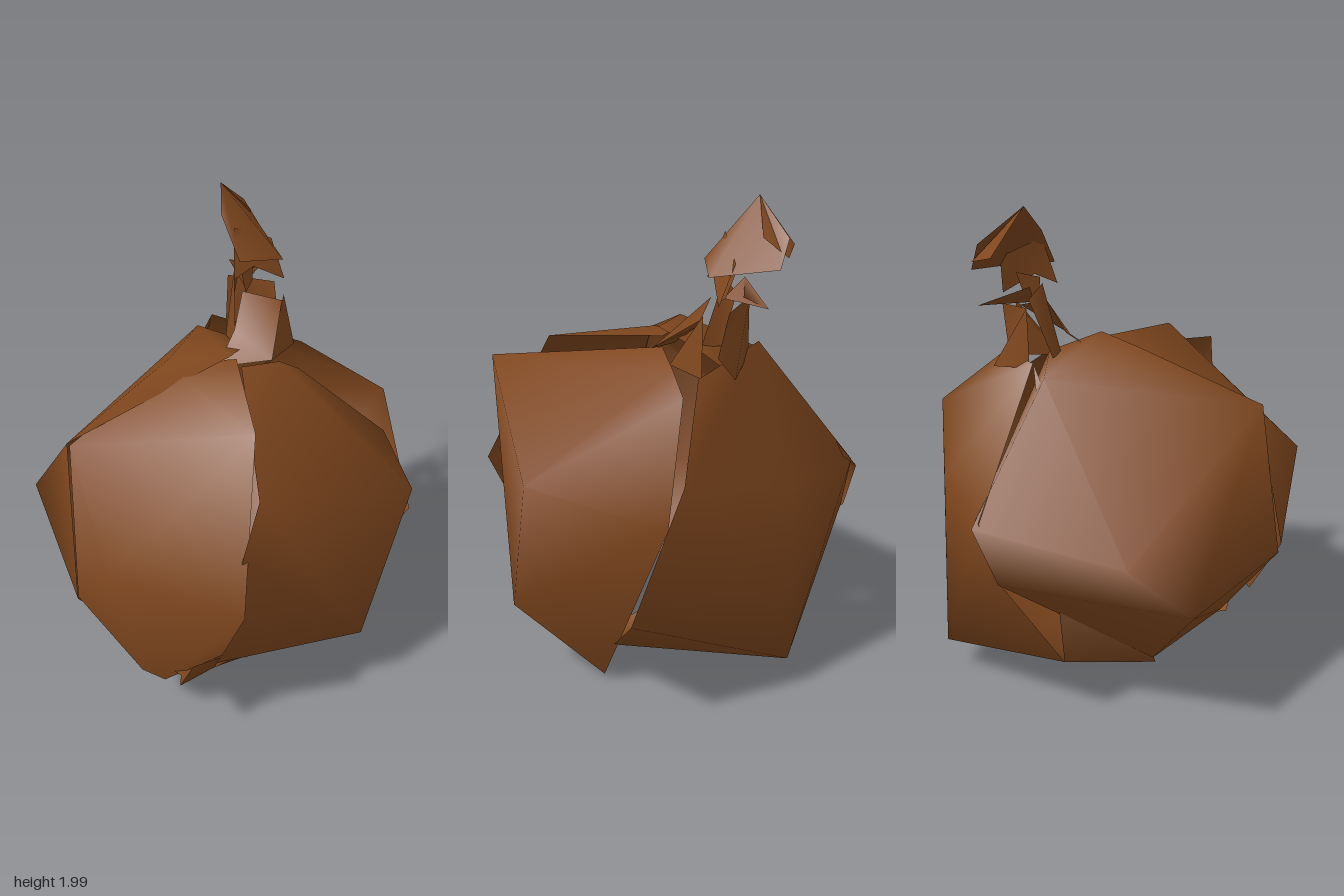
import * as THREE from 'three';
import { ConvexGeometry } from 'three/addons/geometries/ConvexGeometry.js';
import { mergeVertices } from 'three/addons/utils/BufferGeometryUtils.js';

const brown = new THREE.MeshStandardMaterial({ color: 0x80471e, side: THREE.DoubleSide });
brown.name = 'bark brown';

const core = new THREE.Vector3(0, 0.7, 0);

// Curved shell plate: the outward faces of the hull around its corners, smoothed.
function shellPlate(name, corners) {
  const hull = new ConvexGeometry(corners.map((p) => new THREE.Vector3(...p))).getAttribute('position');
  const pos = [];
  const tri = new THREE.Triangle(), normal = new THREE.Vector3(), mid = new THREE.Vector3();
  for (let i = 0; i < hull.count; i += 3) {
    tri.setFromAttributeAndIndices(hull, i, i + 1, i + 2);
    tri.getNormal(normal);
    tri.getMidpoint(mid).sub(core).normalize();
    if (normal.dot(mid) > 0.5) for (const v of [tri.a, tri.b, tri.c]) pos.push(v.x, v.y, v.z);
  }
  const geo = new THREE.BufferGeometry();
  geo.setAttribute('position', new THREE.Float32BufferAttribute(pos, 3));
  return makeMesh(name, mergeVertices(geo));
}

// Thin jagged splinter: a fan over a few corners.
function splinter(name, corners) {
  const index = [];
  for (let i = 1; i < corners.length - 1; i++) index.push(0, i, i + 1);
  const geo = new THREE.BufferGeometry();
  geo.setAttribute('position', new THREE.Float32BufferAttribute(corners.flat(), 3));
  geo.setIndex(index);
  return makeMesh(name, geo);
}

function makeMesh(name, geo) {
  geo.computeVertexNormals();
  const mesh = new THREE.Mesh(geo, brown);
  mesh.name = name;
  return mesh;
}

export function createModel() {
  const model = new THREE.Group();
  model.name = 'crackedNut';

  // Overlapping plates of the round shell
  const plates = {
    frontLeftPlate: [
      [-0.12, 1.27, 0.74], [-0.17, 0.95, 0.7], [-0.27, 0.38, 0.62], [-0.03, 0.08, 0.3], [0.36, 0.03, 0.21],
      [0.7, 0.87, -0.09], [0.3, 1.25, -0.11], [0.2, 1.33, -0.06], [0.02, 1.37, 0], [0.6, 0.98, 0.47], [0.38, 0.35, 0.58],
    ],
    frontRightPlate: [
      [-0.06, 1.38, 0.48], [0, 1.41, 0], [-0.27, 1.39, -0.07], [-0.71, 1.21, 0.13], [-0.75, 0.58, 0.3],
      [-0.53, 0.25, 0.45], [-0.45, 0.24, 0.52], [-0.25, 0.49, 0.69], [-0.19, 0.77, 0.8], [-0.66, 0.91, 0.58],
    ],
    backRightPlate: [
      [0.1, 1.38, -0.16], [-0.03, 1.44, 0.02], [-0.26, 1.43, -0.05], [-0.72, 1.23, 0.14], [-0.75, 0.55, 0.28],
      [-0.53, 0.25, 0.2], [-0.4, 0.12, -0.12], [-0.81, 0.59, -0.48], [-0.12, 0.64, -0.77], [-0.03, 0.86, -0.81],
      [-0.06, 1.35, -0.4], [-0.57, 0.74, -0.56], [-0.77, 0.75, -0.3],
    ],
    backLeftPlate: [
      [0.33, 1.34, -0.17], [0, 1.4, -0.39], [-0.05, 0.88, -0.79], [-0.12, 0.64, -0.76], [-0.28, 0.27, -0.57],
      [-0.4, 0.09, -0.1], [-0.03, 0.01, 0.27], [0.42, 0.21, 0.16], [0.8, 0.51, 0.04],
      [0.71, 1.05, -0.15], [0.36, 0.15, -0.55], [0.34, 0.9, -0.55],
    ],
  };
  const shell = new THREE.Group();
  shell.name = 'shell';
  for (const [name, corners] of Object.entries(plates)) shell.add(shellPlate(name, corners));
  // Broken flap under the front
  shell.add(splinter('lowerFrontFlap', [
    [-0.27, 0.38, 0.64], [-0.26, 0.49, 0.7], [-0.37, 0.47, 0.7], [-0.43, 0.4, 0.72],
    [-0.4, 0.33, 0.6], [-0.53, 0.22, 0.25], [-0.03, 0.02, 0.27], [-0.02, 0.12, 0.33],
  ]));

  // Splintered stalk rising from the crown
  const splinters = {
    stalkFrontSplinter: [[0.14, 1.4, 0.03], [0.24, 1.55, -0.17], [0.08, 1.6, -0.2], [0.03, 1.46, -0.14], [-0.07, 1.36, -0.04]],
    stalkLeftSplinter: [[0.25, 1.57, -0.18], [0.2, 1.45, -0.12], [0.13, 1.33, -0.04], [0.3, 1.33, -0.18]],
    stalkBackSplinter: [[0.06, 1.6, -0.35], [0.24, 1.58, -0.28], [0.25, 1.4, -0.24], [0.27, 1.32, -0.31], [0.05, 1.36, -0.35]],
    stalkRightSplinter: [[0.06, 1.68, -0.25], [0.09, 1.62, -0.3], [0.02, 1.38, -0.24], [0.04, 1.38, -0.16]],
    neckSplinter: [[0.06, 1.68, -0.33], [0.15, 1.62, -0.33], [0.24, 1.6, -0.43], [0.1, 1.6, -0.25]],
    neckBlade: [[0.1, 1.58, -0.22], [0.14, 1.61, -0.26], [0.15, 1.72, -0.3], [0.08, 1.7, -0.24]],
    tipBlade: [[0.04, 2.0, -0.38], [0.02, 1.9, -0.3], [0.06, 1.75, -0.17], [0.25, 1.72, -0.2], [0.23, 1.75, -0.47], [0.17, 1.86, -0.5]],
    tipFrontSplinter: [[0.06, 1.86, -0.25], [0.04, 1.67, -0.18], [0.13, 1.7, -0.21], [0.27, 1.61, -0.24], [0.23, 1.77, -0.3]],
    tipBackSplinter: [[0.04, 2.0, -0.38], [0.09, 1.82, -0.52], [0.2, 1.79, -0.5], [0.17, 1.86, -0.4]],
  };
  const stalk = new THREE.Group();
  stalk.name = 'stalk';
  for (const [name, corners] of Object.entries(splinters)) stalk.add(splinter(name, corners));

  model.add(shell, stalk);
  return model;
}
